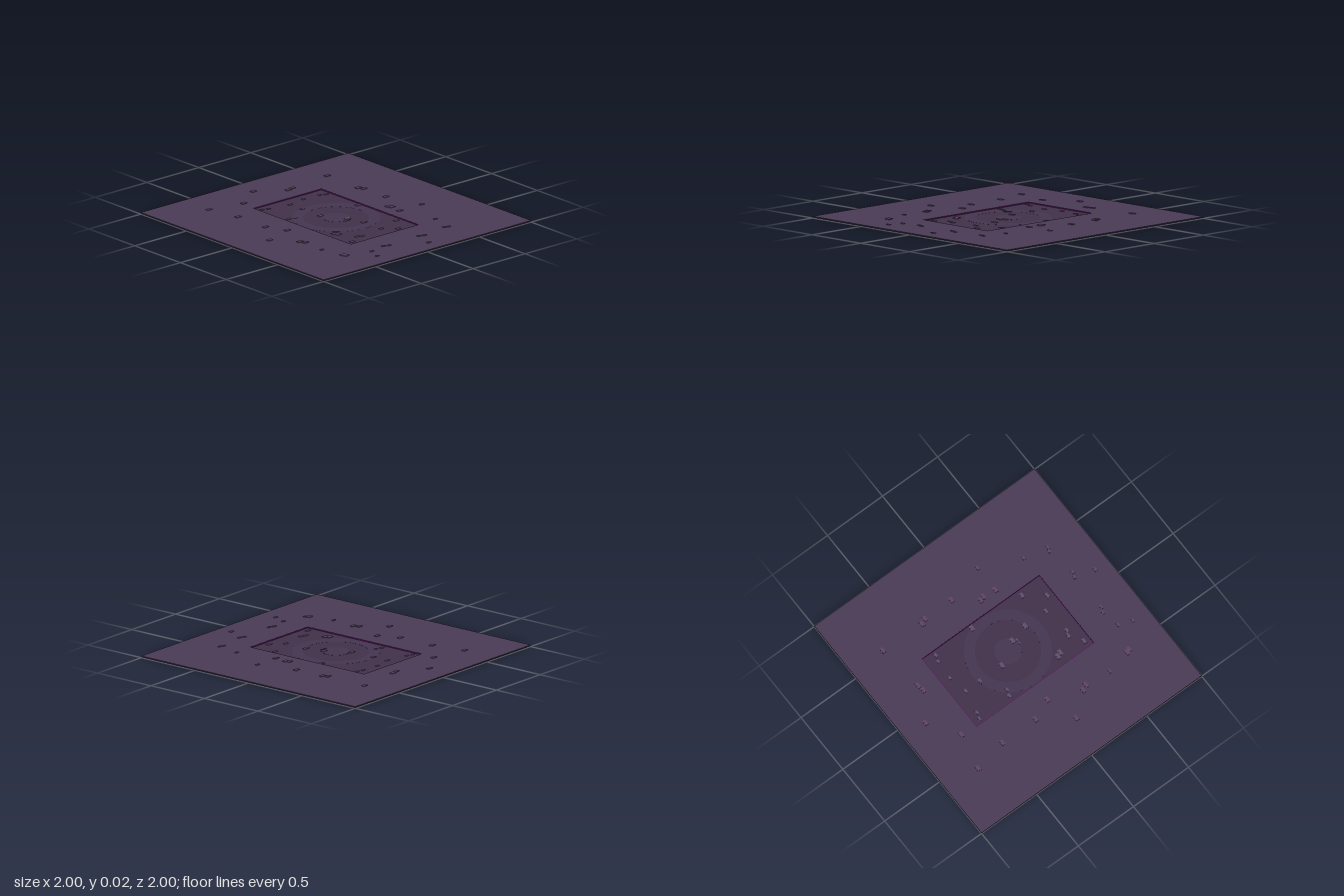
import * as THREE from 'three';

const mat = (color) => new THREE.MeshStandardMaterial({ color });
const GROUND = mat(0x4b3a56), FLOOR = mat(0x41314b), RING = mat(0x44354f);
const WALL = mat(0x5a1060), EDGE = mat(0x33263c), PEBBLE = mat(0x5c4262), PIT_PEBBLE = mat(0x604a6c);

const PIT_X = 0.33, PIT_Z = 0.535; // half sizes of the pit
const BOTTOM = 0.004, TOP = 0.013;

// x, z, width of each pebble on the ground
const GROUND_PEBBLES = [
  [-0.08, -0.81, 0.045], [-0.59, -0.72, 0.045], [0.55, -0.72, 0.045], [-0.31, -0.66, 0.045],
  [0.13, -0.67, 0.045], [0.18, -0.68, 0.045], [-0.54, -0.46, 0.045], [0.54, -0.37, 0.045],
  [0.56, -0.33, 0.045], [-0.54, -0.16, 0.045], [0.56, -0.09, 0.045], [-0.47, 0, 0.045],
  [-0.71, 0.08, 0.045], [0.43, 0.08, 0.045], [0.44, 0.11, 0.045], [0.43, 0.21, 0.045],
  [0.64, 0.21, 0.035], [-0.57, 0.25, 0.045], [-0.55, 0.29, 0.045], [-0.57, 0.49, 0.03],
  [0.5, 0.52, 0.03], [-0.53, 0.68, 0.045], [-0.52, 0.705, 0.04], [-0.32, 0.755, 0.03],
  [-0.18, 0.725, 0.03], [-0.14, 0.74, 0.03], [0.16, 0.725, 0.03], [0.2, 0.74, 0.03],
  [0.43, 0.7, 0.03], [0.46, 0.71, 0.03], [-0.36, 0.86, 0.03], [0.12, 0.88, 0.035],
];

// x, z, width of each pebble in the pit
const PIT_PEBBLES = [
  [-0.29, -0.48, 0.03], [-0.24, -0.465, 0.03], [-0.06, -0.43, 0.035], [0.09, -0.46, 0.03],
  [0.24, -0.45, 0.03], [0.29, -0.435, 0.035], [-0.06, -0.3, 0.035], [-0.28, -0.2, 0.035],
  [-0.23, -0.185, 0.03], [-0.06, -0.1, 0.045], [0.3, -0.1, 0.045], [0.045, 0.075, 0.045],
  [0, 0.105, 0.02], [0.03, 0.105, 0.02], [0.08, 0.215, 0.045], [-0.25, 0.265, 0.045],
  [-0.235, 0.295, 0.045], [0.28, 0.34, 0.04], [-0.17, 0.42, 0.035], [-0.13, 0.435, 0.035],
  [0.08, 0.405, 0.035], [0.17, 0.485, 0.04], [-0.27, 0.485, 0.04],
];

function addMesh(parent, name, geometry, material, x = 0, y = 0, z = 0) {
  const mesh = new THREE.Mesh(geometry, material);
  mesh.name = name;
  mesh.position.set(x, y, z);
  parent.add(mesh);
  return mesh;
}

function rectangle(path, hx, hz) {
  path.moveTo(-hx, -hz);
  path.lineTo(hx, -hz);
  path.lineTo(hx, hz);
  path.lineTo(-hx, hz);
  path.closePath();
  return path;
}

// Flat slab lying on the xz plane, made from a shape
function slab(shape, depth) {
  return new THREE.ExtrudeGeometry(shape, { depth, bevelEnabled: false, curveSegments: 24 }).rotateX(-Math.PI / 2);
}

function pebbles(name, list, bottom, height, material) {
  const group = new THREE.Group();
  group.name = name;
  for (const [x, z, w] of list) {
    addMesh(group, 'pebble', new THREE.BoxGeometry(w, height, w * 0.6), material, x, bottom + height / 2, z);
  }
  return group;
}

export function createModel() {
  const model = new THREE.Group();
  model.name = 'groundTileWithPit';

  // Ground slab with a rectangular opening
  const outline = rectangle(new THREE.Shape(), 1, 1);
  outline.holes.push(rectangle(new THREE.Path(), PIT_X, PIT_Z));
  addMesh(model, 'ground', slab(outline, TOP - BOTTOM), [GROUND, EDGE], 0, BOTTOM, 0);

  // Pit floor
  addMesh(model, 'pitFloor', new THREE.BoxGeometry(PIT_X * 2, 0.002, PIT_Z * 2), FLOOR, 0, BOTTOM, 0);

  // Pit walls
  const h = TOP - BOTTOM - 0.0005, t = 0.004;
  for (const s of [-1, 1]) {
    addMesh(model, 'pitSideWall', new THREE.BoxGeometry(t, h, PIT_Z * 2), WALL, s * (PIT_X - t / 2), BOTTOM + h / 2, 0);
    addMesh(model, 'pitEndWall', new THREE.BoxGeometry(PIT_X * 2, h, t), WALL, 0, BOTTOM + h / 2, s * (PIT_Z - t / 2));
  }

  // Concentric markings set through the floor
  for (const [inner, outer] of [[0.24, 0.32], [0, 0.1]]) {
    const ring = new THREE.Shape().absarc(0, 0, outer, 0, Math.PI * 2, false);
    if (inner) ring.holes.push(new THREE.Path().absarc(0, 0, inner, 0, Math.PI * 2, true));
    addMesh(model, 'floorRing', slab(ring, 0.003), RING, 0, BOTTOM - 0.0015, 0);
  }

  // Scattered pebbles
  model.add(pebbles('groundPebbles', GROUND_PEBBLES, TOP - 0.004, 0.009, PEBBLE));
  model.add(pebbles('pitPebbles', PIT_PEBBLES, 0, 0.009, PIT_PEBBLE));
  return model;
}
